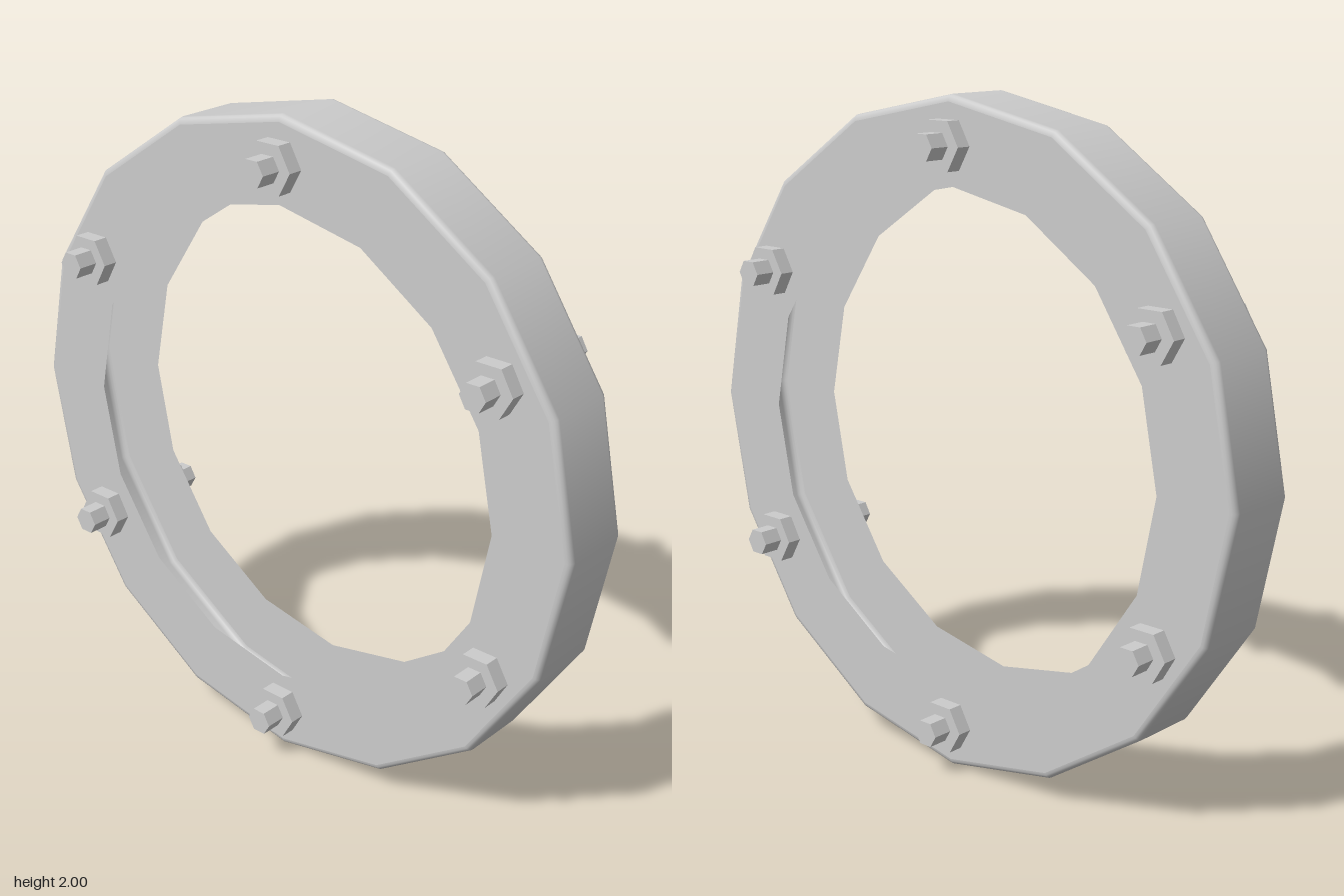
import * as THREE from 'three';

const SIDES = 16, HALF = 0.118, BEVEL = 0.02, HOLE = 0.75, BOLT_CIRCLE = 0.862;

export function createModel() {
  const model = new THREE.Group();
  const shell = new THREE.MeshStandardMaterial({ color: 0xcccccc, side: THREE.DoubleSide });
  const faceted = new THREE.MeshStandardMaterial({ color: 0xcccccc, flatShading: true });

  const ring = new THREE.Group();
  ring.name = 'ring';
  ring.position.y = 1;
  model.add(ring);

  const add = (name, geometry, material, parent = ring) => {
    const mesh = new THREE.Mesh(geometry, material);
    mesh.name = name;
    parent.add(mesh);
    return mesh;
  };

  // Thin outer band with rounded shoulders, open on the inside
  const profile = [];
  for (const side of [-1, 1]) {
    for (let i = 0; i <= 4; i++) {
      const a = (side < 0 ? 4 - i : i) / 4 * Math.PI / 2;
      profile.push(new THREE.Vector2(
        1 - BEVEL + BEVEL * Math.cos(a),
        side * (HALF - BEVEL + BEVEL * Math.sin(a))));
    }
  }
  add('outerBand', new THREE.LatheGeometry(profile, SIDES).rotateZ(-Math.PI / 2), shell);

  // Flat flanges and their six bolts on both sides
  for (const side of [-1, 1]) {
    const flange = add(side > 0 ? 'leftFlange' : 'rightFlange',
      new THREE.RingGeometry(HOLE, 1 - BEVEL, SIDES).rotateY(side * Math.PI / 2), shell);
    flange.position.x = side * HALF;

    for (let i = 0; i < 6; i++) {
      const a = i * Math.PI / 3;
      const bolt = new THREE.Group();
      bolt.name = side > 0 ? 'leftBolt' : 'rightBolt';
      bolt.position.set(side * HALF, BOLT_CIRCLE * Math.cos(a), BOLT_CIRCLE * Math.sin(a));
      const hex = (name, radius, from, to) => {
        const mesh = add(name,
          new THREE.CylinderGeometry(radius, radius, to - from, 6).rotateZ(Math.PI / 2), faceted, bolt);
        mesh.position.x = side * (from + to) / 2;
      };
      hex('nut', 0.08, 0, 0.046);
      hex('boltEnd', 0.042, 0.046, 0.109);
      ring.add(bolt);
    }
  }
  return model;
}
